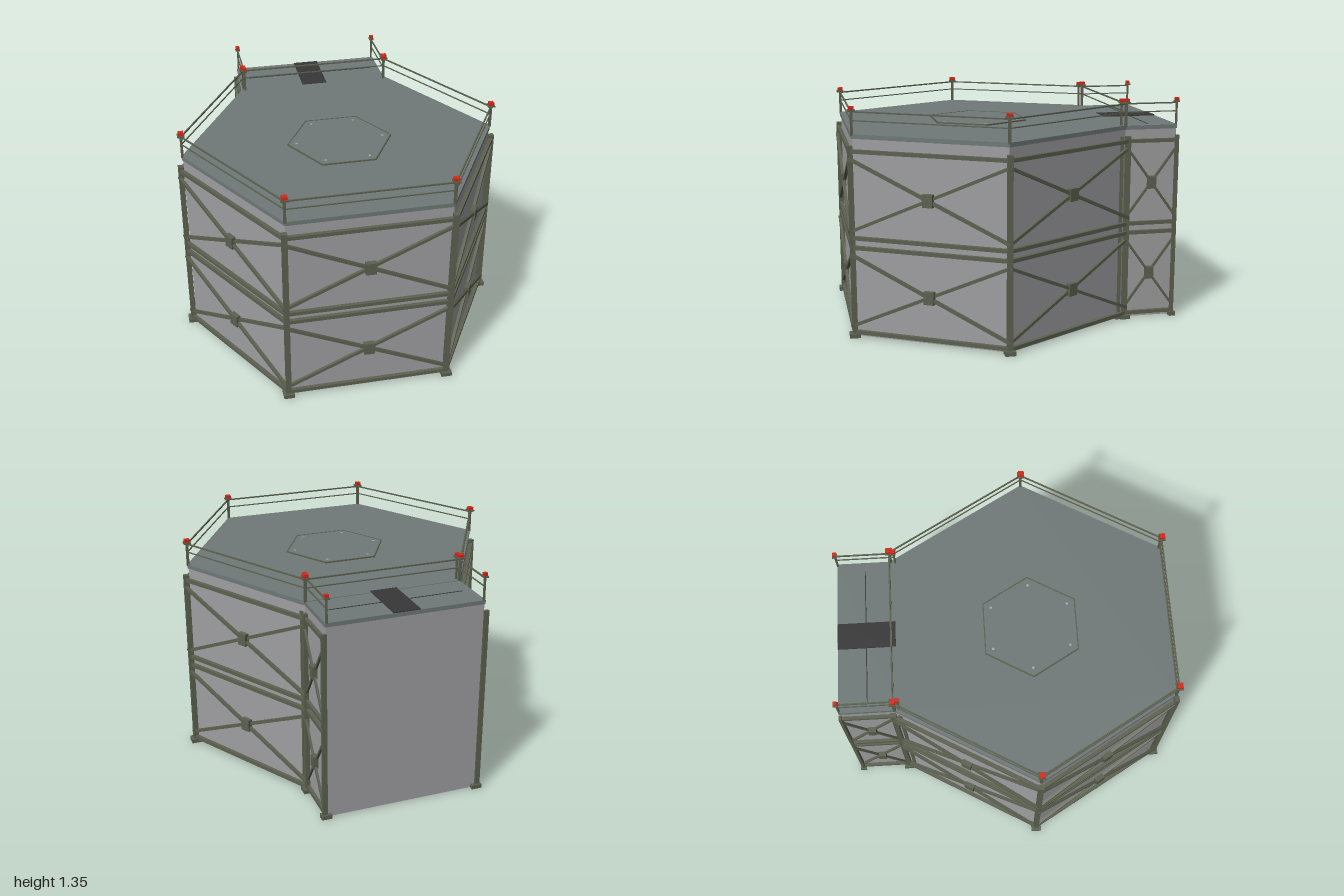
import * as THREE from 'three';

const mat = (name, color) => {
  const m = new THREE.MeshStandardMaterial({ color });
  m.name = name;
  return m;
};

export function createModel() {
  const wall = mat('wall grey', 0x9f9fa1);
  const deck = mat('deck grey green', 0x6f7977);
  const steel = mat('olive steel', 0x5c6150);
  const red = mat('lamp red', 0xd02a18);
  const dark = mat('walkway black', 0x383737);
  const bolt = mat('bolt grey', 0xa4acac);

  const model = new THREE.Group();
  model.name = 'hexagonalTank';
  const CZ = 0.148; // centre of the hexagon along z
  const DECK = 1.195;

  const add = (parent, name, geo, material, x = 0, y = 0, z = 0) => {
    const mesh = new THREE.Mesh(geo, material);
    mesh.name = name;
    mesh.position.set(x, y, z);
    parent.add(mesh);
    return mesh;
  };
  const box = (parent, name, material, w, h, d, x, y, z) =>
    add(parent, name, new THREE.BoxGeometry(w, h, d), material, x, y, z);
  const group = (parent, name) => {
    const g = new THREE.Group();
    g.name = name;
    parent.add(g);
    return g;
  };
  const corner = (r, i) => [r * Math.cos(i * Math.PI / 3), CZ + r * Math.sin(i * Math.PI / 3)];

  // Upright hexagonal slab, optionally hollowed into a ring
  const hexSlab = (name, material, r, y0, y1, inner) => {
    const points = (rad) => Array.from({ length: 6 }, (_, i) =>
      new THREE.Vector2(rad * Math.cos(i * Math.PI / 3), rad * Math.sin(i * Math.PI / 3)));
    const shape = new THREE.Shape(points(r));
    if (inner) shape.holes.push(new THREE.Path(points(inner)));
    const geo = new THREE.ExtrudeGeometry(shape, { depth: y1 - y0, bevelEnabled: false });
    geo.rotateX(-Math.PI / 2);
    add(model, name, geo, material, 0, y0, CZ);
  };

  // Square bar between two points of the parent's space
  const UP = new THREE.Vector3(0, 1, 0);
  const bar = (parent, name, a, b, t) => {
    const A = new THREE.Vector3(...a), B = new THREE.Vector3(...b);
    const m = box(parent, name, steel, t, t, A.distanceTo(B), 0, 0, 0);
    m.quaternion.setFromRotationMatrix(new THREE.Matrix4().lookAt(B, A, UP));
    m.position.copy(A).add(B).multiplyScalar(0.5);
  };

  // Main body and rear annex
  hexSlab('mainWall', wall, 0.93, 0.005, 1.17);
  hexSlab('mainDeck', deck, 0.937, 1.17, DECK);
  box(model, 'annexWall', wall, 0.926, 1.165, 0.4, 0, 0.5875, -0.777);
  box(model, 'annexDeck', deck, 0.936, 0.024, 0.34, 0, 1.18, -0.811);

  // Walkway and seam on the annex roof
  box(model, 'walkway', dark, 0.158, 0.007, 0.338, 0, 1.194, -0.811);
  box(model, 'annexSeam', dark, 0.82, 0.003, 0.005, 0, 1.193, -0.814);

  // Roof hatch with rim and bolts
  hexSlab('hatchPlate', deck, 0.308, DECK, 1.201);
  hexSlab('hatchRim', steel, 0.316, DECK, 1.203, 0.308);
  for (let i = 0; i < 6; i++) {
    const [x, z] = corner(0.26, i);
    add(model, 'hatchBolt', new THREE.CylinderGeometry(0.008, 0.008, 0.004, 8), bolt, x, 1.201, z);
  }

  // Braced frame panel in local space: width along x, outward along +z
  const framePanel = (name, width, x, z, turn, t) => {
    const g = group(model, name);
    g.position.set(x, 0, z);
    g.rotation.y = turn;
    for (const y of [0.033, 0.54, 0.597, 1.1]) box(g, 'rail', steel, width, 0.022, 0.022, 0, y, 0.004);
    const w = width / 2;
    for (const [lo, hi] of [[0.07, 0.5], [0.635, 1.06]]) {
      bar(g, 'brace', [-w, lo, 0.006], [w, hi, 0.006], t);
      bar(g, 'brace', [-w, hi, 0.014], [w, lo, 0.014], t);
      box(g, 'gusset', steel, Math.min(0.062, width * 0.16), 0.074, 0.03, 0, (lo + hi) / 2, 0.014);
    }
  };
  const APOTHEM = 0.819;
  for (let i = 0; i < 6; i++) {
    if (i === 4) continue; // the annex stands against the rear face
    const a = (i + 0.5) * Math.PI / 3;
    framePanel('mainFrame', 0.955, APOTHEM * Math.cos(a), CZ + APOTHEM * Math.sin(a), Math.PI / 2 - a, 0.018);
  }
  for (const s of [-1, 1]) framePanel('annexFrame', 0.31, s * 0.468, -0.825, s * Math.PI / 2, 0.013);

  // Corner columns on base plates
  for (let i = 0; i < 6; i++) {
    const [x, z] = corner(0.948, i);
    box(model, 'column', steel, 0.031, 1.115, 0.031, x, 0.5725, z);
    box(model, 'columnFoot', steel, 0.062, 0.025, 0.062, x, 0.0125, z);
  }
  for (const s of [-1, 1]) {
    box(model, 'annexColumn', steel, 0.03, 1.115, 0.018, s * 0.476, 0.5725, -0.979);
    box(model, 'annexFoot', steel, 0.062, 0.025, 0.04, s * 0.468, 0.0125, -0.98);
    box(model, 'annexColumn', steel, 0.028, 1.115, 0.022, s * 0.474, 0.5725, -0.633);
    box(model, 'annexFoot', steel, 0.055, 0.025, 0.05, s * 0.468, 0.0125, -0.637);
  }

  // Railings with a red lamp on each post
  const lampPost = ([x, z], k = 1) => {
    const g = group(model, 'railingPost');
    g.position.set(x, 0, z);
    box(g, 'post', steel, 0.015 * k, 0.14, 0.015 * k, 0, 1.257, 0);
    box(g, 'lampBase', steel, 0.042 * k, 0.01, 0.042 * k, 0, 1.33, 0);
    box(g, 'lamp', red, 0.031 * k, 0.018, 0.031 * k, 0, 1.344, 0);
  };
  const railing = (a, b) => {
    for (const [y, t] of [[1.272, 0.006], [1.322, 0.008]])
      bar(model, 'railingBar', [a[0], y, a[1]], [b[0], y, b[1]], t);
  };
  for (let i = 0; i < 6; i++) {
    lampPost(corner(0.932, i));
    railing(corner(0.932, i), corner(0.932, i + 1));
  }
  for (const s of [-1, 1]) {
    const front = [s * 0.458, -0.633], back = [s * 0.458, -0.977];
    lampPost(front, 0.7);
    lampPost(back, 0.7);
    railing(front, back);
  }
  return model;
}
